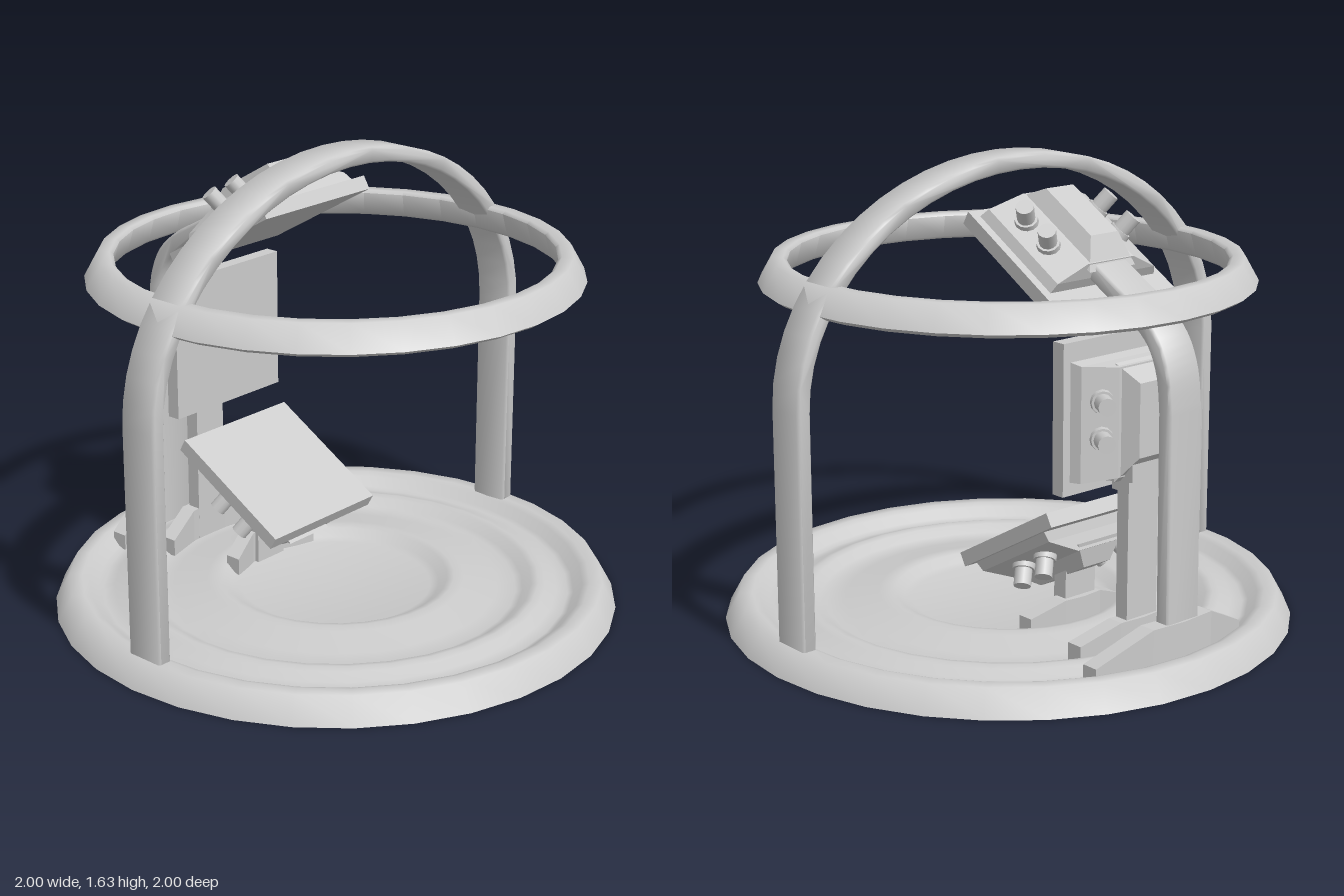
import * as THREE from 'three';
import { toCreasedNormals } from 'three/addons/utils/BufferGeometryUtils.js';

const grey = new THREE.MeshStandardMaterial({ color: 0xcccccc });
const greyDouble = new THREE.MeshStandardMaterial({ color: 0xcccccc, side: THREE.DoubleSide });

function add(parent, geometry, name, material = grey) {
  const mesh = new THREE.Mesh(geometry, material);
  mesh.name = name;
  parent.add(mesh);
  return mesh;
}

function lathe(profile) {
  const pts = profile.map(([x, y]) => new THREE.Vector2(x, y));
  return toCreasedNormals(new THREE.LatheGeometry(pts, 32), 1.2);
}

// Bent flat bar: a centre line in the xy plane, thickened and extruded along z
function bar(points, thickness, width) {
  const left = [], right = [];
  points.forEach((p, i) => {
    const a = points[Math.max(i - 1, 0)], b = points[Math.min(i + 1, points.length - 1)];
    const t = b.clone().sub(a).normalize();
    const off = new THREE.Vector2(-t.y, t.x).multiplyScalar(thickness / 2);
    left.push(p.clone().add(off));
    right.unshift(p.clone().sub(off));
  });
  const bevel = 0.008;
  const geo = new THREE.ExtrudeGeometry(new THREE.Shape([...left, ...right]), {
    depth: width - 2 * bevel, bevelThickness: bevel, bevelSize: bevel, bevelOffset: -bevel, bevelSegments: 1,
  });
  geo.translate(0, 0, -width / 2 + bevel);
  return toCreasedNormals(geo, 0.9);
}

// Tapered block between two rectangles [yMin, yMax, zHalf], growing from x = -n0 to x = -n1
function frustum(n0, n1, base, top) {
  const geo = new THREE.BoxGeometry(1, 1, 1).toNonIndexed();
  const p = geo.attributes.position;
  for (let i = 0; i < p.count; i++) {
    const back = p.getX(i) < 0;
    const [y0, y1, z] = back ? top : base;
    p.setXYZ(i, back ? -n1 : -n0, p.getY(i) < 0 ? y0 : y1, Math.sign(p.getZ(i)) * z);
  }
  geo.computeVertexNormals();
  return geo;
}

// Square panel facing +x with a stepped housing and four splayed knobs behind it
function panel(name, x, y, angle, housingShift) {
  const group = new THREE.Group();
  group.name = name;
  add(group, new THREE.BoxGeometry(0.05, 0.51, 0.52).translate(-0.025, 0, 0), 'panelPlate');
  const housing = new THREE.Group();
  housing.name = 'housing';
  housing.position.y = housingShift;
  group.add(housing);
  add(housing, frustum(0.05, 0.085, [-0.21, 0.19, 0.23], [-0.21, 0.18, 0.215]), 'housingBase');
  add(housing, frustum(0.085, 0.14, [-0.21, 0.18, 0.215], [-0.2, 0.17, 0.1]), 'housingSlope');
  add(housing, frustum(0.12, 0.195, [-0.22, 0.18, 0.1], [-0.13, 0.12, 0.06]), 'housingBack');
  for (const side of [-1, 1]) for (const u of [-0.062, 0.062]) {
    const knob = new THREE.Group();
    knob.name = 'knob';
    add(knob, new THREE.CylinderGeometry(0.038, 0.044, 0.05, 12).translate(0, 0.01, 0), 'knobCollar');
    add(knob, new THREE.CylinderGeometry(0.03, 0.03, 0.1, 12).translate(0, 0.045, 0), 'knobPin');
    knob.position.set(-0.1, u, side * 0.145);
    knob.quaternion.setFromUnitVectors(
      new THREE.Vector3(0, 1, 0), new THREE.Vector3(-0.87, 0, side * 0.49).normalize());
    housing.add(knob);
  }
  group.position.set(x, y, 0);
  group.rotation.z = angle;
  return group;
}

// Foot spreading sideways along the curve of the base, sloping down to its tips
function foot(name, x, top, half, sweep) {
  const geo = new THREE.BoxGeometry(0.06, 1, 2, 1, 1, 4).toNonIndexed();
  const p = geo.attributes.position;
  for (let i = 0; i < p.count; i++) {
    const s = p.getZ(i), end = Math.abs(s) > 0.9, mid = Math.abs(s) < 0.1;
    const z = mid ? 0 : Math.sign(s) * (end ? half : half * 0.4);
    const y = p.getY(i) < 0 ? 0.03 : end ? 0.1 : top;
    p.setXYZ(i, x + p.getX(i) + sweep * (z / half) ** 2, y, z);
  }
  geo.computeVertexNormals();
  const mesh = new THREE.Mesh(geo, grey);
  mesh.name = name;
  return mesh;
}

export function createModel() {
  const model = new THREE.Group();
  model.name = 'panelStand';

  // Thin round base: each ring rises at its outer edge, then falls gently to the next
  add(model, lathe([
    [1, 0], [0.95, 0.09], [0.905, 0.09], [0.88, 0.08], [0.85, 0.05], [0.83, 0.042], [0.79, 0.05],
    [0.75, 0.068], [0.725, 0.075], [0.7, 0.07], [0.67, 0.045], [0.645, 0.037], [0.58, 0.045],
    [0.46, 0.068], [0.425, 0.073], [0.4, 0.068], [0.37, 0.043], [0.34, 0.035], [0, 0.035],
  ]), 'base', greyDouble);

  // Horizontal hoop with a sloping outer face
  add(model, lathe([
    [0.775, 1.195], [0.785, 1.185], [0.83, 1.185], [0.853, 1.2], [0.805, 1.285], [0.765, 1.285],
    [0.752, 1.275], [0.775, 1.195],
  ]), 'hoop');

  // Tall arch over the middle
  const archPoints = [new THREE.Vector2(0.915, 0.03)];
  for (let i = 0; i <= 28; i++) {
    const a = Math.PI * i / 28;
    archPoints.push(new THREE.Vector2(0.915 * Math.cos(a), 0.89 + 0.713 * Math.sin(a)));
  }
  archPoints.push(new THREE.Vector2(-0.915, 0.03));
  add(model, bar(archPoints, 0.054, 0.145), 'arch').rotation.y = Math.PI / 2;

  // Upper arm: straight leg bending in under the hoop to the top panel
  const bend = new THREE.SplineCurve([
    [-0.835, 0.9], [-0.82, 1.02], [-0.775, 1.12], [-0.69, 1.195], [-0.6, 1.245], [-0.48, 1.312], [-0.4, 1.358],
  ].map(([x, y]) => new THREE.Vector2(x, y))).getPoints(24);
  add(model, bar([new THREE.Vector2(-0.843, 0.03), ...bend], 0.058, 0.145), 'upperArm');
  model.add(foot('upperArmFoot', -0.85, 0.2, 0.33, 0.07));

  // Middle and lower posts, widening where they meet the panels
  add(model, new THREE.BoxGeometry(0.052, 0.62, 0.135).translate(-0.65, 0.34, 0), 'middlePost');
  add(model, frustum(0.57, 0.695, [0.62, 0.74, 0.07], [0.64, 0.74, 0.07]), 'middlePostHead');
  add(model, frustum(0.6, 0.68, [0.6, 0.65, 0.07], [0.6, 0.65, 0.07]), 'middlePostNeck');
  model.add(foot('middlePostFoot', -0.66, 0.16, 0.24, 0.05));
  add(model, new THREE.BoxGeometry(0.058, 0.26, 0.135).translate(-0.348, 0.16, 0), 'lowerPost');
  add(model, frustum(0.3, 0.39, [0.27, 0.32, 0.07], [0.27, 0.32, 0.07]), 'lowerPostHead');
  model.add(foot('lowerPostFoot', -0.37, 0.15, 0.2, 0.05));

  // Three panels aimed at the centre
  model.add(panel('upperPanel', -0.296, 1.298, -Math.PI / 3, 0.035));
  model.add(panel('middlePanel', -0.52, 0.855, 0, 0));
  model.add(panel('lowerPanel', -0.27, 0.4, Math.PI / 3, -0.015));

  return model;
}
